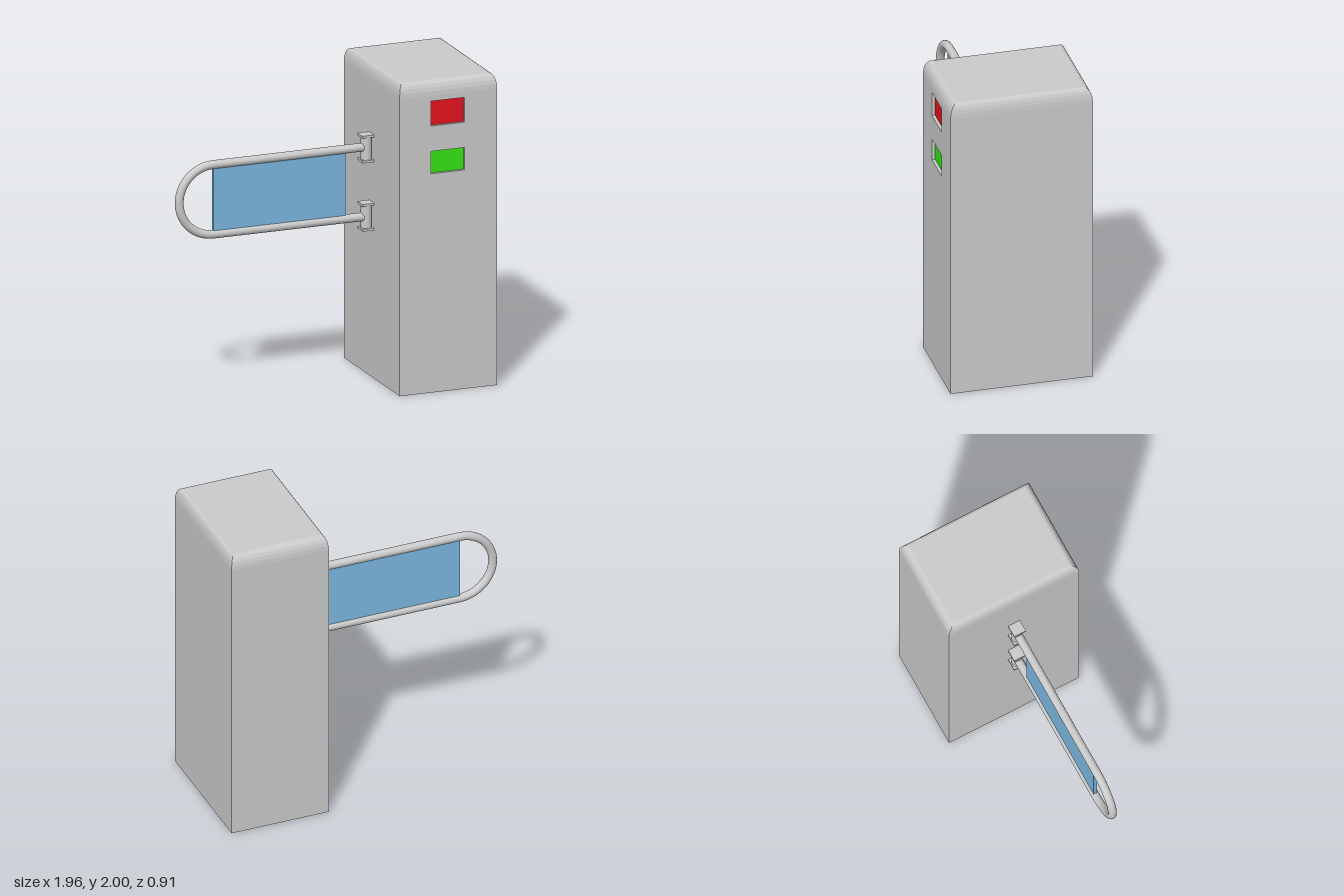
import * as THREE from 'three';

const grey = new THREE.MeshStandardMaterial({ color: 0xcccccc });
const greyFlat = new THREE.MeshStandardMaterial({ color: 0xcccccc, flatShading: true });
const red = new THREE.MeshStandardMaterial({ color: 0xe5121f });
const green = new THREE.MeshStandardMaterial({ color: 0x35e512 });
const blue = new THREE.MeshStandardMaterial({ color: 0x7db9e2 });

// Cabinet extents
const X0 = 0.33, X1 = 0.98, CX = (X0 + X1) / 2, W = X1 - X0, HZ = 0.455;
const SHOULDER = 1.91, RECESS = 0.025;

function add(parent, name, geometry, material, x = 0, y = 0, z = 0) {
  const mesh = new THREE.Mesh(geometry, material);
  mesh.name = name;
  mesh.position.set(x, y, z);
  parent.add(mesh);
  return mesh;
}

// Rounded lid: stacked rectangles that shrink along a quarter ellipse
function lidGeometry() {
  const steps = 5, pos = [], idx = [];
  for (let i = 0; i <= steps; i++) {
    const a = (i / steps) * Math.PI / 2, inset = 1 - Math.cos(a);
    const hx = W / 2 - 0.032 * inset, hz = HZ - 0.048 * inset;
    const y = SHOULDER + (2 - SHOULDER) * Math.sin(a);
    pos.push(-hx, y, hz, hx, y, hz, hx, y, -hz, -hx, y, -hz);
  }
  for (let i = 0; i < steps; i++) {
    for (let j = 0; j < 4; j++) {
      const a = i * 4 + j, b = i * 4 + (j + 1) % 4;
      idx.push(a, b, b + 4, a, b + 4, a + 4);
    }
  }
  const t = steps * 4;
  idx.push(t, t + 1, t + 2, t, t + 2, t + 3);
  const indexed = new THREE.BufferGeometry();
  indexed.setAttribute('position', new THREE.Float32BufferAttribute(pos, 3));
  indexed.setIndex(idx);
  const g = indexed.toNonIndexed();
  g.computeVertexNormals();
  return g;
}

function rectangle(path, x0, y0, x1, y1) {
  path.moveTo(x0, y0);
  path.lineTo(x1, y0);
  path.lineTo(x1, y1);
  path.lineTo(x0, y1);
  path.closePath();
  return path;
}

export function createModel() {
  const model = new THREE.Group();
  model.name = 'accessGate';

  // Cabinet with a front plate cut out for the indicators
  const cabinet = new THREE.Group();
  cabinet.name = 'cabinet';
  model.add(cabinet);
  const depth = 2 * HZ - RECESS;
  add(cabinet, 'cabinetBody', new THREE.BoxGeometry(W, SHOULDER, depth), grey, CX, SHOULDER / 2, -RECESS / 2);
  add(cabinet, 'cabinetLid', lidGeometry(), greyFlat, CX, 0, 0);

  const indicators = [
    { name: 'redIndicator', y0: 1.715, y1: 1.875, material: red },
    { name: 'greenIndicator', y0: 1.408, y1: 1.552, material: green },
  ];
  const plate = rectangle(new THREE.Shape(), X0, 0, X1, SHOULDER);
  for (const { name, y0, y1, material } of indicators) {
    plate.holes.push(rectangle(new THREE.Path(), 0.54, y0, 0.763, y1));
    add(cabinet, name, new THREE.BoxGeometry(0.223, y1 - y0, 0.006), material,
      0.6515, (y0 + y1) / 2, HZ - RECESS + 0.002);
  }
  add(cabinet, 'frontPlate', new THREE.ExtrudeGeometry(plate, { depth: RECESS, bevelEnabled: false }),
    grey, 0, 0, HZ - RECESS);

  // Swing arm: one tube bent into a U
  const arm = new THREE.Group();
  arm.name = 'swingArm';
  model.add(arm);
  const yTop = 1.485, yLow = 1.037, yMid = (yTop + yLow) / 2, bend = (yTop - yLow) / 2;
  const xBend = -0.98 + 0.027 + bend;
  const path = new THREE.CurvePath();
  const bendPoints = [];
  for (let i = 0; i <= 24; i++) {
    const a = Math.PI / 2 + (i / 24) * Math.PI;
    bendPoints.push(new THREE.Vector3(xBend + bend * Math.cos(a), yMid + bend * Math.sin(a), 0));
  }
  path.add(new THREE.LineCurve3(new THREE.Vector3(0.28, yTop, 0), bendPoints[0]));
  path.add(new THREE.CatmullRomCurve3(bendPoints));
  path.add(new THREE.LineCurve3(bendPoints[24], new THREE.Vector3(0.28, yLow, 0)));
  add(arm, 'armTube', new THREE.TubeGeometry(path, 120, 0.027, 16, false), grey);
  add(arm, 'armPanel', new THREE.BoxGeometry(0.88, yTop - yLow - 0.03, 0.022), blue, -0.29, yMid, 0);

  // Hinges: a pin between two square plates
  for (const [name, y] of [['upperHinge', 1.48], ['lowerHinge', 1.041]]) {
    const hinge = new THREE.Group();
    hinge.name = name;
    hinge.position.set(0.293, y, 0);
    model.add(hinge);
    add(hinge, 'hingePin', new THREE.CylinderGeometry(0.034, 0.034, 0.16, 24), grey);
    for (const s of [-1, 1]) {
      add(hinge, 'hingePlate', new THREE.BoxGeometry(0.082, 0.015, 0.082), grey, 0, s * 0.08, 0);
    }
  }
  return model;
}
